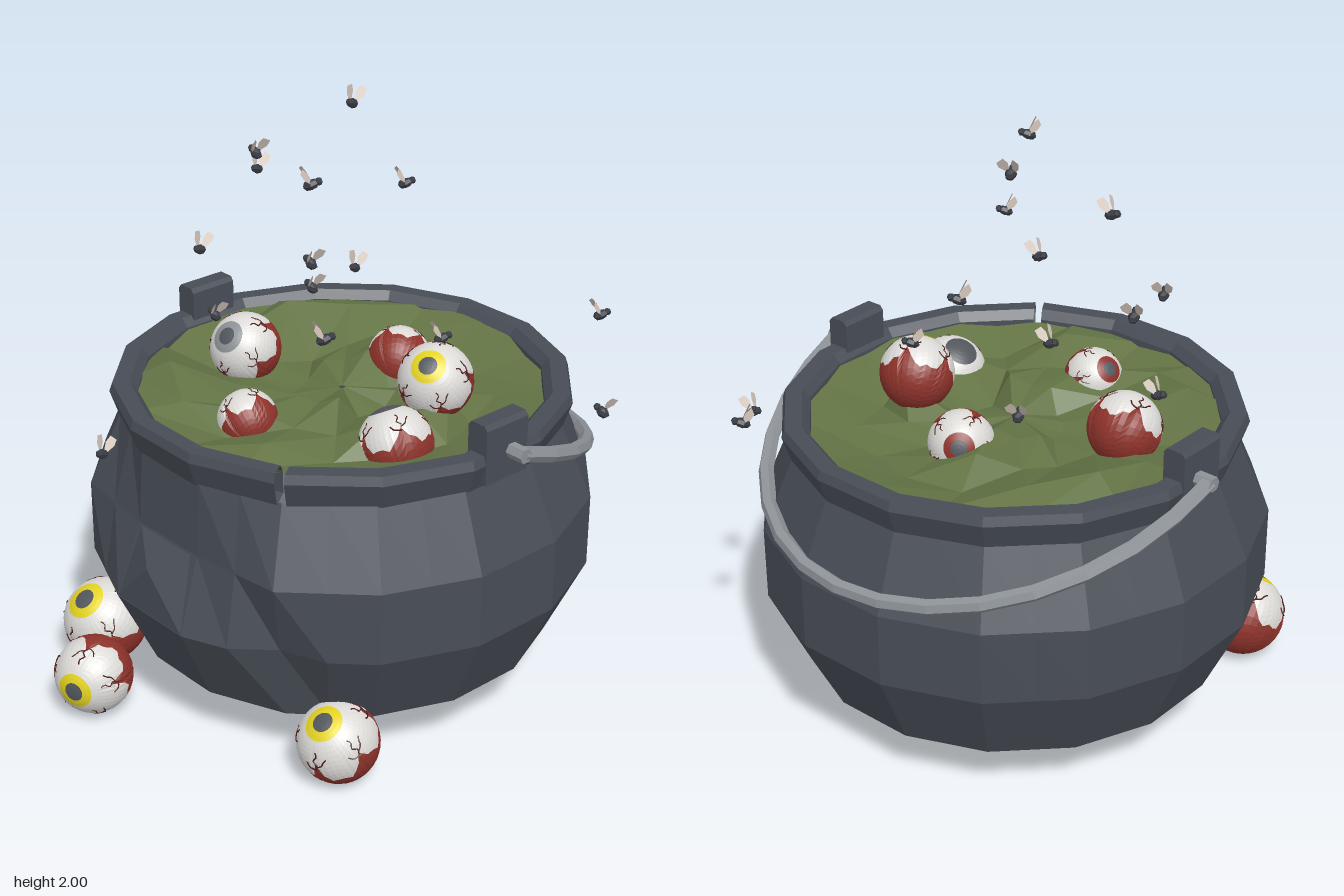
import * as THREE from 'three';
import { ConvexGeometry } from 'three/addons/geometries/ConvexGeometry.js';

const mat = (name, color, double = false) => new THREE.MeshStandardMaterial({
  name, color, flatShading: true, side: double ? THREE.DoubleSide : THREE.FrontSide });
const iron = mat('iron', 0x484d56, true);
const steel = mat('steel', 0x8d9297);
const slime = mat('slime', 0x637445, true);
const white = mat('eyeWhite', 0xdcdbd8);
const yellow = mat('irisYellow', 0xe3d322);
const grey = mat('pupilGrey', 0x53575d);
const red = mat('fleshRed', 0x8e332b);
const veinRed = mat('veinDark', 0x4e1d19);
const flyDark = mat('flyBody', 0x383b42);
const wingPale = mat('flyWing', 0xd2c3b8, true);

const POT_Z = -0.07, SIDES = 16;
const V = (x, y, z) => new THREE.Vector3(x, y, z);

function add(parent, name, geometry, material) {
  const m = new THREE.Mesh(geometry, material);
  m.name = name;
  parent.add(m);
  return m;
}

// Pot body: 16 flat sides with a middle column in each, so dents can be pushed in
function bodyGeometry() {
  const profile = [[0, 0.035], [0.34, 0.05], [0.7, 0.2], [0.83, 0.48], [0.83, 0.73], [0.725, 0.98]];
  const rows = profile.length, cols = SIDES * 2;
  const geo = new THREE.LatheGeometry(profile.map(p => new THREE.Vector2(p[0], p[1])), cols);
  const pos = geo.attributes.position;
  const corner = (col, row) => {
    const a = col * Math.PI * 2 / cols, c = (col + cols) % cols;
    const dent = row === 4 && (c === 1 || c === cols - 1) ? 0.09 : 0;
    const r = profile[row][0] / Math.cos(Math.PI / SIDES) - dent;
    return V(Math.sin(a) * r, profile[row][1], Math.cos(a) * r);
  };
  for (let c = 0; c <= cols; c++) for (let row = 0; row < rows; row++) {
    const p = c % 2 ? corner(c, row) : corner(c - 1, row).add(corner(c + 1, row)).multiplyScalar(0.5);
    if (row === 3 && c === 3) p.multiply(V(0.92, 1, 0.92));  // star-shaped dent below the rim split
    pos.setXYZ(c * rows + row, p.x, p.y, p.z);
  }
  return geo;
}

// Slime surface: rings of facets with uneven heights
function slimeGeometry() {
  const geo = new THREE.RingGeometry(0.01, 0.69, SIDES, 4).rotateX(-Math.PI / 2);
  const pos = geo.attributes.position;
  for (let i = 0; i < pos.count; i++) {
    const x = pos.getX(i), z = pos.getZ(i), r = Math.hypot(x, z);
    const a = Math.round(Math.atan2(z, x) * 8 / Math.PI + 16) % 16, k = Math.round(r * 6);
    const s = Math.sin(a * 12.99 + k * 78.23) * 4375.85;
    const n = s - Math.floor(s);
    const y = r < 0.05 ? 1.03 : r > 0.6 ? 1.04 + n * 0.03 : 0.99 + n * n * 0.14;
    const push = r > 0.05 && r < 0.6 ? 1 + (n - 0.5) * 0.25 : 1;
    pos.setXYZ(i, x * push, y, z * push);
  }
  return geo;
}

// Point on an eyeball; theta is measured from the centre of the iris
const onEye = (r, theta, phi) => V(-r * Math.cos(phi) * Math.sin(theta), r * Math.cos(theta), r * Math.sin(phi) * Math.sin(theta));

// Band of an eyeball between two theta rules
function eyeBand(r, from, to, rows) {
  const geo = new THREE.PlaneGeometry(1, 1, 40, rows), pos = geo.attributes.position;
  for (let i = 0; i < pos.count; i++) {
    const phi = (pos.getX(i) + 0.5) * Math.PI * 2;
    const p = onEye(r, THREE.MathUtils.lerp(from(phi), to(phi), 0.5 - pos.getY(i)), phi);
    pos.setXYZ(i, p.x, p.y, p.z);
  }
  return geo;
}

// Eyeball looking along dir, with lobed white, red back and forked veins
function eyeball(x, y, z, r, dir, irisMaterial, turn) {
  const g = new THREE.Group();
  g.name = 'eyeball';
  const edge = phi => 1.1 + 0.55 * Math.sqrt(Math.abs(Math.sin(2.5 * phi))) + 0.07 * Math.sin(phi * 13);
  add(g, 'pupil', eyeBand(r, () => 0, () => 0.25, 2), grey);
  add(g, 'iris', eyeBand(r, () => 0.25, () => 0.48, 2), irisMaterial);
  add(g, 'eyeWhite', eyeBand(r, () => 0.48, edge, 9), white);
  add(g, 'eyeBack', eyeBand(r, edge, () => Math.PI, 9), red);
  for (let k = 0; k < 5; k++) {
    const phi = k * Math.PI * 0.4;
    const paths = [
      [[1.2, 0], [1.08, 0.06], [0.98, -0.05], [0.86, 0.07], [0.75, 0.02]],
      [[1.15, 0.03], [1.08, 0.2], [1.0, 0.26], [0.92, 0.38]],
      [[1.25, 0.03], [1.2, -0.18], [1.08, -0.28]]];
    for (const path of paths) {
      const curve = new THREE.CatmullRomCurve3(path.map(([t, p]) => onEye(r, t, phi + p)));
      add(g, 'vein', new THREE.TubeGeometry(curve, 8, r * 0.02, 4), veinRed);
    }
  }
  g.position.set(x, y, z);
  g.quaternion.setFromUnitVectors(V(0, 1, 0), V(...dir).normalize());
  g.rotateY(turn);
  return g;
}

// Fly: faceted body and head with two raised wings
function fly(x, y, z, turn) {
  const g = new THREE.Group();
  g.name = 'fly';
  add(g, 'flyBody', new THREE.SphereGeometry(0.02, 6, 4).scale(0.95, 0.85, 1.35), flyDark).rotation.x = -0.35;
  add(g, 'flyHead', new THREE.SphereGeometry(0.013, 6, 4), flyDark).position.set(0, 0.01, 0.024);
  const outline = new THREE.Shape([[-0.005, 0], [0.005, 0], [0.016, 0.03], [0.013, 0.052], [-0.011, 0.055], [-0.015, 0.03]].map(p => new THREE.Vector2(...p)));
  for (const s of [-1, 1]) {
    const wing = add(g, 'flyWing', new THREE.ShapeGeometry(outline), wingPale);
    wing.position.set(s * 0.009, 0.008, 0);
    wing.rotation.set(-0.45, s * 0.5, -s * 0.35);
  }
  g.position.set(x, y, z);
  g.rotation.y = turn;
  return g;
}

export function createModel() {
  const model = new THREE.Group();
  model.name = 'cauldron';
  const pot = new THREE.Group();
  pot.name = 'pot';
  pot.position.z = POT_Z;
  model.add(pot);

  add(pot, 'potBody', bodyGeometry(), iron);
  add(pot, 'slime', slimeGeometry(), slime);

  // Chipped ledge standing out of the front dent
  add(pot, 'chipLedge', new ConvexGeometry([V(-0.15, 0.73, 0.735), V(0.13, 0.73, 0.735), V(0, 0.65, 0.83),
    V(-0.165, 0.48, 0.829), V(0.165, 0.48, 0.829), V(0, 0.6, 0.7)]), iron);

  // Rim with a narrow split at the front left
  const rimProfile = [[0.66, 0.98], [0.725, 0.97], [0.755, 1.06], [0.745, 1.09], [0.69, 1.09], [0.665, 1.06], [0.66, 0.98]]
    .map(([r, y]) => new THREE.Vector2(r / Math.cos(Math.PI / SIDES), y));
  const split = Math.PI * 3 / 16;
  add(pot, 'rim', new THREE.LatheGeometry(rimProfile, SIDES, split + 0.02, Math.PI * 2 - 0.04), iron);

  // Lugs with chamfered tops, and handle pins
  const lugShape = new THREE.Shape([[-0.04, 0.99], [0.04, 0.99], [0.04, 1.175], [0.028, 1.19], [-0.028, 1.19], [-0.04, 1.175]].map(p => new THREE.Vector2(...p)));
  for (const s of [-1, 1]) {
    const lug = new THREE.ExtrudeGeometry(lugShape, { depth: 0.18, bevelEnabled: false });
    add(pot, 'lug', lug, iron).position.set(s * 0.717, 0, -0.09);
    const pin = add(pot, 'handlePin', new THREE.CylinderGeometry(0.026, 0.026, 0.09, 6), steel);
    pin.position.set(s * 0.775, 1.08, -0.02);
    pin.rotation.z = Math.PI / 2;
  }

  // Handle hanging down behind the pot
  const arc = [];
  for (let i = 0; i <= 12; i++) {
    const a = i * Math.PI / 12;
    arc.push(V(0.8 * Math.cos(a), 1.08 - 0.31 * Math.sin(a), -0.02 - 0.81 * Math.sin(a)));
  }
  add(pot, 'handle', new THREE.TubeGeometry(new THREE.CatmullRomCurve3(arc), 16, 0.026, 6), steel);

  // Eyeballs on the ground and in the slime: x, y, z, radius, gaze, iris, turn
  const eyes = [
    [-0.51, 0.155, 0.575, 0.147, [0, 0.8, 0.6], yellow, 0.3],
    [-0.27, 0.145, 0.8, 0.132, [0.38, 0.02, 0.92], yellow, 0],
    [0.56, 0.143, 0.445, 0.135, [0.05, 0.82, 0.55], yellow, 0.6],
    [-0.015, 1.05, -0.345, 0.108, [-0.58, 0.3, -0.75], red, 0.5],
    [0.32, 1.13, -0.19, 0.125, [0.3, 0.7, 0.6], yellow, 0],
    [0.4, 1.015, 0.06, 0.122, [-0.5, 0.85, -0.05], grey, 0.2],
    [-0.38, 1.075, 0.03, 0.122, [0.1, 0.6, 0.75], steel, 0.4],
    [-0.02, 1.03, 0.32, 0.1, [-0.8, 0.6, -0.1], red, 0.7]];
  for (const e of eyes) model.add(eyeball(...e));

  // Swarm of flies
  const flies = [
    [-0.12, 1.95, -0.22], [0.2, 1.87, 0.24], [-0.31, 1.79, 0.03], [-0.58, 1.61, -0.2], [-0.12, 1.62, -0.46],
    [0.04, 1.53, 0.1], [-0.385, 1.48, 0.21], [0.44, 1.49, 0.4], [-0.15, 1.34, -0.07], [-0.31, 1.27, -0.41],
    [0.3, 1.26, -0.23], [-0.455, 1.19, 0.1], [-0.31, 0.92, 0.69], [0.41, 1.19, -0.88], [0.69, 1.02, -0.59]];
  flies.forEach((f, i) => model.add(fly(...f, i * 2.1 + 0.4)));

  return model;
}
